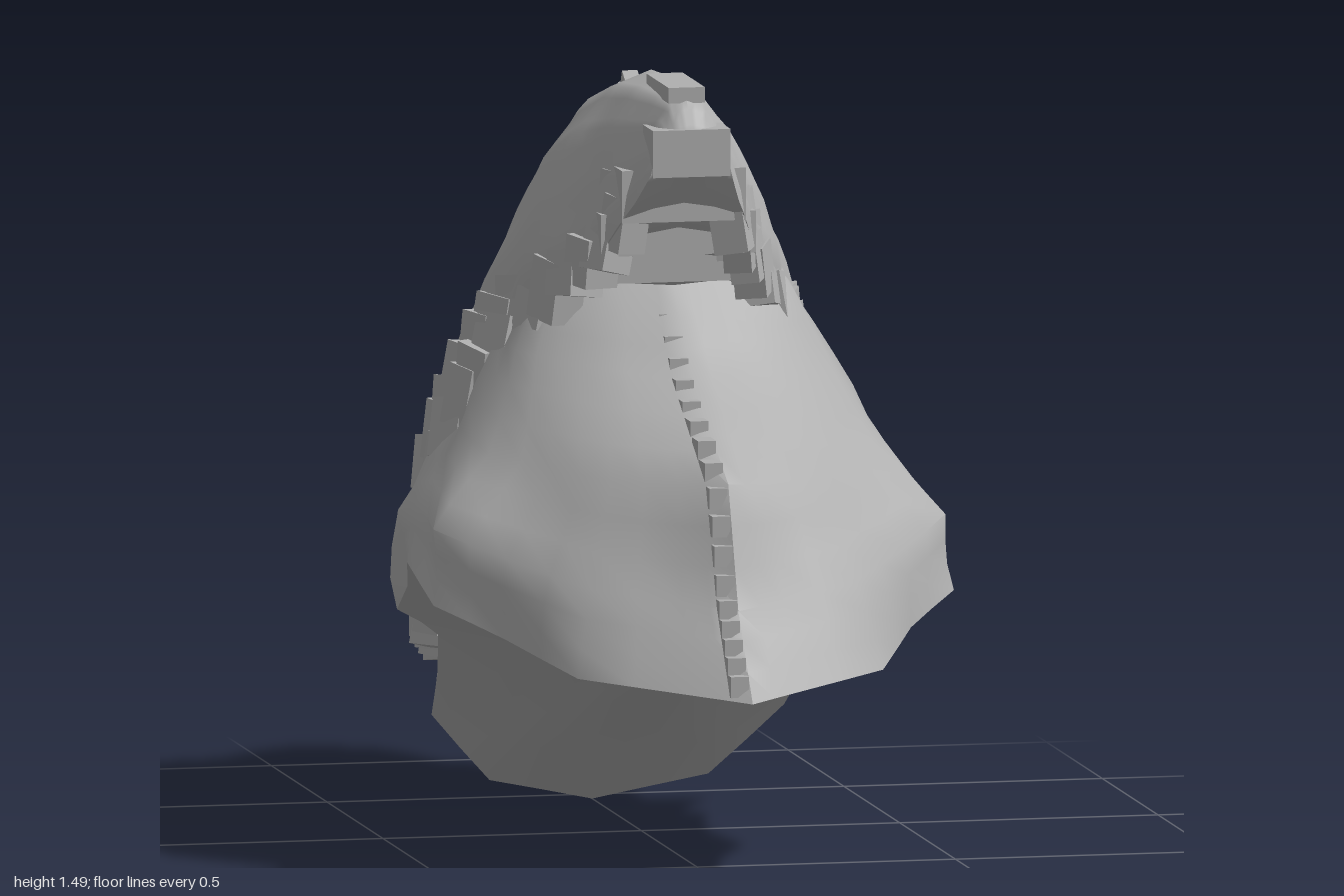
import * as THREE from 'three';
import { toCreasedNormals } from 'three/addons/utils/BufferGeometryUtils.js';

const stone = new THREE.MeshStandardMaterial({ color: 0xb0b0b0 });
stone.name = 'stone grey';

// Skin closed rings of points into a capped solid that faces outward
function loft(rings, crease = 0.7) {
  const n = rings[0].length, pos = rings.flat(2), idx = [];
  const mean = r => [0, 1, 2].map(k => r.reduce((s, p) => s + p[k], 0) / n);
  for (let i = 0; i < rings.length - 1; i++) {
    for (let j = 0; j < n; j++) {
      const a = i * n + j, b = i * n + (j + 1) % n;
      idx.push(a, b, a + n, b, b + n, a + n);
    }
  }
  const last = (rings.length - 1) * n, c = rings.length * n;
  pos.push(...mean(rings[0]), ...mean(rings[rings.length - 1]));
  for (let j = 0; j < n; j++) {
    const k = (j + 1) % n;
    idx.push(c, k, j, c + 1, last + j, last + k);
  }
  // Signed volume tells whether the winding has to be reversed
  const v = i => new THREE.Vector3().fromArray(pos, i * 3);
  let volume = 0;
  for (let i = 0; i < idx.length; i += 3) volume += v(idx[i]).dot(v(idx[i + 1]).cross(v(idx[i + 2])));
  if (volume < 0) idx.reverse();
  const g = new THREE.BufferGeometry();
  g.setAttribute('position', new THREE.Float32BufferAttribute(pos, 3));
  g.setIndex(idx);
  return toCreasedNormals(g, crease);
}

// Half ring from one centre point to the other, completed by reflection
const mirrorRing = half => [...half, ...half.slice(1, -1).reverse().map(([x, y, z]) => [-x, y, z])];

// Insert in-between rows of numbers
function resample(rows, steps) {
  const out = [];
  for (let i = 0; i < rows.length - 1; i++) {
    for (let s = 0; s < steps; s++) out.push(rows[i].map((v, k) => THREE.MathUtils.lerp(v, rows[i + 1][k], s / steps)));
  }
  return [...out, rows[rows.length - 1]];
}

const curve = pts => new THREE.CatmullRomCurve3(pts.map(p => new THREE.Vector3(...p)));

// Seeded random numbers from 0 to 1
function seeded(seed) {
  return () => (seed = (seed * 16807) % 2147483647) / 2147483647;
}

// Face modelling: y, z, radius in y, radius in z, slope, push outwards
const swellings = [
  [.87, -.57, .05, .14, .6, .25], // brow
  [.72, -.64, .04, .07, .5, -.12], // eye socket
  [.97, -.35, .06, .1, .7, -.1], // hollow behind the brow
  [.6, -.3, .12, .16, 0, .04], // cheek
  [.53, -.93, .04, .05, 0, .25], // nostril
];
function sculpt([x, y, z]) {
  let f = 1 + .018 * Math.sin(23 * z + 13 * y) + .012 * Math.sin(31 * y - 11 * z);
  for (const [cy, cz, ry, rz, slope, push] of swellings) {
    const dz = z - cz, dy = y - cy - dz * slope;
    f += push * Math.exp(-((dy / ry) ** 2) - (dz / rz) ** 2);
  }
  return [x * f, y, z];
}

export function createModel() {
  const root = new THREE.Group();
  const random = seeded(71);
  const add = (name, geometry, parent = root) => {
    const m = new THREE.Mesh(geometry, stone);
    m.name = name;
    parent.add(m);
    return m;
  };
  const group = (name, parent = root) => {
    const g = new THREE.Group();
    g.name = name;
    parent.add(g);
    return g;
  };

  // Neck: rings from the cut rim up to the skull
  const rim = [[0, .38, 1], [.1, .39, .93], [.29, .41, .8], [.4, .46, .6], [.51, .51, .47], [.51, .57, .3],
    [.48, .44, .02], [.385, .38, -.04], [.345, .19, -.3], [.21, .05, -.38], [0, 0, -.44]];
  const lower = [[0, .54, .87], [.1, .55, .82], [.26, .57, .74], [.38, .61, .58], [.49, .65, .43], [.5, .67, .25],
    [.48, .62, .0], [.38, .5, -.09], [.31, .3, -.28], [.19, .18, -.35], [0, .17, -.37]];
  const middle = [[0, .77, .78], [.08, .76, .72], [.19, .76, .62], [.29, .77, .5], [.37, .78, .36], [.39, .81, .2],
    [.38, .78, .02], [.32, .62, -.09], [.26, .44, -.23], [.15, .36, -.32], [0, .33, -.33]];
  const upper = [[0, .92, .47], [.08, .93, .43], [.15, .94, .39], [.23, .95, .32], [.3, .96, .24], [.31, .98, .14],
    [.28, .93, 0], [.2, .7, -.1], [.16, .55, -.18], [.08, .5, -.22], [0, .5, -.22]];
  const crown = upper.map(([x, y, z]) => [x * .75, y * .22 + .88, z * .4 + .1]);
  const wrinkle = ([x, y, z]) => [x * (1 + .02 * Math.sin(19 * z + 27 * y)), y, z];
  const neckRings = [rim, lower, middle, upper, crown].map(r => resample(r, 2).flat());
  add('neck', loft(resample(neckRings, 3).map(flat => {
    const half = [];
    for (let i = 0; i < flat.length; i += 3) half.push(wrinkle(flat.slice(i, i + 3)));
    return mirrorRing(half);
  }), 0.8));

  // Low stepped ridge down the back of the neck
  const neckRidge = group('neckRidge');
  const nape = curve([[-.02, 1.05, .26], [-.02, .9, .47], [-.02, .765, .74], [-.02, .55, .84], [-.02, .41, .95]]);
  for (let i = 0; i < 18; i++) {
    add('neckPlate', new THREE.BoxGeometry(.035, .04, .055), neckRidge).position.copy(nape.getPoint(i / 17));
  }

  const head = group('head');
  head.position.x = -.02;

  // Skull sections: z, top, bottom, half width, snout share
  const skull = [[-1, .53, .46, .02, 1], [-.97, .57, .41, .065, 1], [-.9, .64, .4, .1, 1], [-.8, .72, .43, .15, 1],
    [-.7, .81, .45, .21, 1], [-.6, .94, .44, .255, 1], [-.5, 1.02, .43, .29, 1], [-.35, 1.13, .4, .33, .9],
    [-.2, 1.25, .4, .36, .6], [-.08, 1.34, .5, .375, .2], [.02, 1.43, .64, .365, 0], [.08, 1.45, .84, .33, 0],
    [.18, 1.48, .99, .265, 0], [.3, 1.485, 1.09, .2, 0], [.42, 1.48, 1.17, .145, 0], [.5, 1.465, 1.27, .1, 0],
    [.54, 1.41, 1.33, .08, 0]];
  const hoodShape = [[0, 1], [.3, .94], [.56, .76], [.82, .48], [.96, .2], [1, 0], [.5, .08], [0, .12]];
  const snoutShape = [[0, 1], [.4, .92], [.73, .74], [.93, .42], [1, .15], [.93, 0], [.5, .05], [0, .08]];
  const outline = resample(hoodShape.map((p, k) => [...p, ...snoutShape[k]]), 4);
  add('skull', loft(resample(skull, 4).map(([z, top, bottom, w, s]) => mirrorRing(outline.map(([hx, hy, sx, sy]) => {
    const x = THREE.MathUtils.lerp(hx, sx, s), y = THREE.MathUtils.lerp(hy, sy, s);
    return sculpt([x * w, bottom + y * (top - bottom), z]);
  }))), 0.9), head);

  // Lower jaw sections: z, top, bottom, half width
  const jaw = [[-.86, .29, .26, .04], [-.82, .3, .13, .09], [-.65, .33, .14, .17], [-.5, .37, .18, .235],
    [-.4, .39, .22, .28], [-.28, .43, .3, .31], [-.1, .55, .44, .33]];
  const jawShape = [[0, 1], [.6, 1], [1, .95], [1, .55], [.86, .2], [.6, 0], [0, 0]];
  add('lowerJaw', loft(jaw.map(([z, top, bottom, w]) =>
    mirrorRing(jawShape.map(([x, y]) => [x * w, bottom + y * (top - bottom), z])))), head);

  // Serrated crest along the middle of the skull
  const crest = group('crest', head);
  const crestLine = curve([[0, .77, -.71], [0, .97, -.58], [0, 1.09, -.42], [0, 1.22, -.25], [0, 1.31, -.12], [0, 1.4, 0]]);
  for (let i = 0; i < 18; i++) {
    const plate = add('crestPlate', new THREE.BoxGeometry(.03, .08, .07), crest);
    plate.position.copy(crestLine.getPoint(i / 17));
    plate.rotation.x = .5;
  }

  const frillLine = curve([[.15, .31, -.68], [.21, .32, -.54], [.27, .33, -.38], [.315, .39, -.24], [.345, .48, -.11],
    [.355, .6, -.02], [.345, .75, .03], [.305, .9, .09], [.24, 1.01, .17], [.18, 1.1, .28], [.125, 1.18, .39], [.07, 1.3, .47]]);
  const upperGum = curve([[.03, .43, -.95], [.08, .43, -.88], [.125, .45, -.78], [.19, .47, -.68], [.25, .45, -.5]]);
  const lowerGum = curve([[.03, .29, -.83], [.08, .3, -.8], [.15, .33, -.65], [.215, .36, -.5]]);

  for (const side of [-1, 1]) {
    const half = group(side > 0 ? 'leftFace' : 'rightFace', head);

    // Two overlapping rows of rough scales along the rear edge of the hood
    for (const [row, shift] of [['outer', 0], ['inner', .045]]) {
      for (let i = 0; i < 26; i++) {
        const p = frillLine.getPoint((i + shift * 10) / 26.5), size = Math.min(1, .6 + i * .06);
        const scale = add(row + 'Scale',
          new THREE.BoxGeometry(.05 + .03 * random(), size * (.08 + .04 * random()), .07 + .04 * random()), half);
        scale.position.set(side * p.x, p.y + shift * .5 * size, p.z - shift);
        scale.rotation.set(.4 * random() - .2, side * -.4, side * .25 * random());
      }
    }

    // Teeth
    for (let i = 0; i < 9; i++) {
      const long = .06 + .05 * random();
      const a = upperGum.getPoint((i + .3) / 9), b = lowerGum.getPoint((i + .3) / 9);
      const up = add('upperTooth', new THREE.ConeGeometry(.017, long, 6), half);
      up.position.set(side * a.x * .93, a.y - long / 2, a.z);
      up.rotation.x = Math.PI;
      add('lowerTooth', new THREE.ConeGeometry(.016, long, 6), half)
        .position.set(side * b.x * .92, b.y + long / 2, b.z);
    }

    // Eye
    const eye = add('eye', new THREE.SphereGeometry(1, 16, 10), half);
    eye.position.set(side * .18, .69, -.66);
    eye.scale.set(.025, .025, .04);
  }

  // Blocky layers under the rear tip of the hood: half width, y, z, height
  [[.075, 1.37, .5, .09], [.12, 1.28, .43, .1], [.15, 1.2, .38, .08], [.18, 1.13, .29, .07]].forEach(([w, y, z, h]) =>
    add('hoodLayer', new THREE.BoxGeometry(w * 2, h, .09), head).position.set(0, y, z));
  add('hoodTip', new THREE.BoxGeometry(.07, .03, .2), head).position.set(0, 1.475, .4);

  return root;
}
